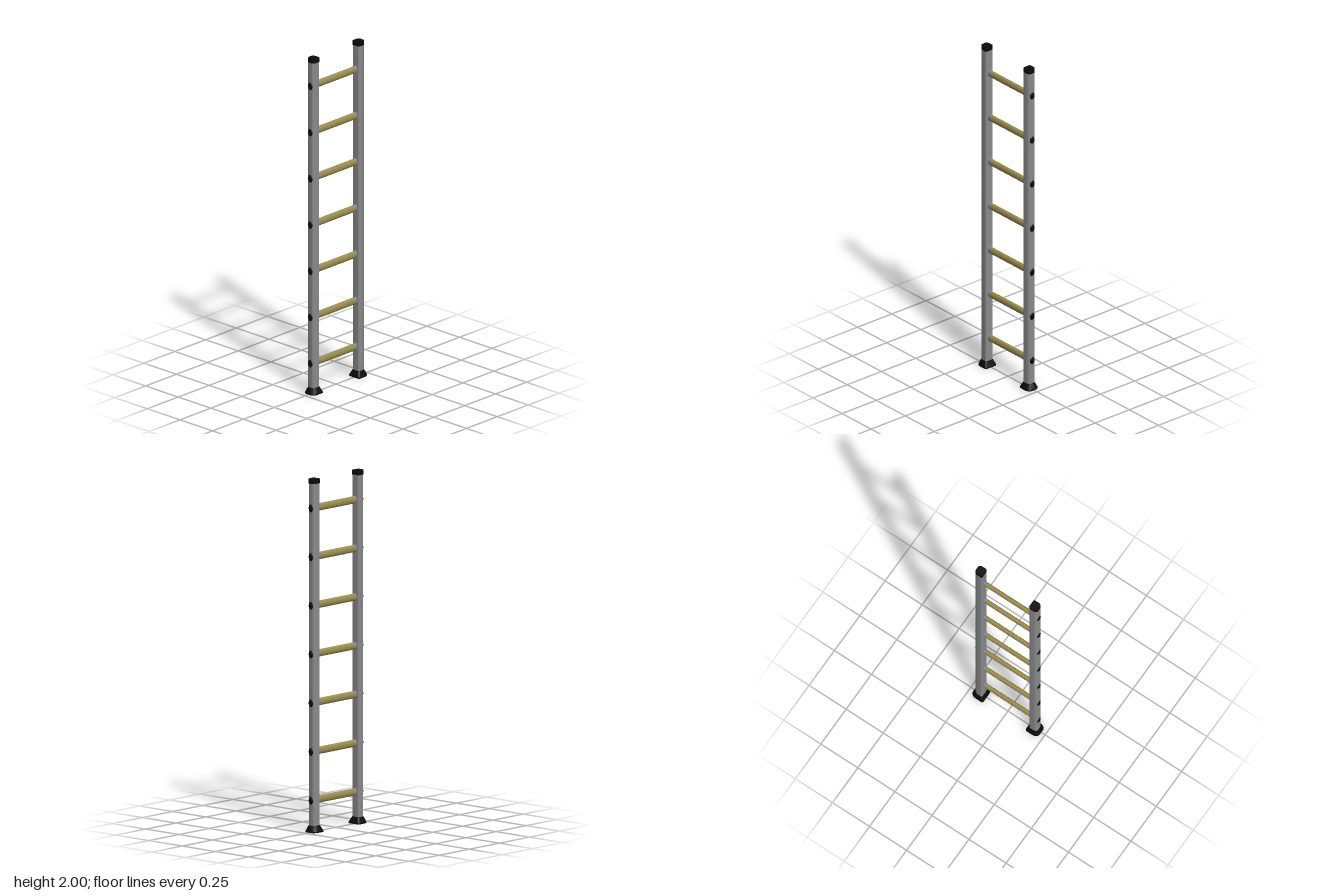
import * as THREE from 'three';
import { toCreasedNormals } from 'three/addons/utils/BufferGeometryUtils.js';

const metal = new THREE.MeshStandardMaterial({ color: 0x8a8a8a });
const rubber = new THREE.MeshStandardMaterial({ color: 0x0a0a0a });
const yellow = new THREE.MeshStandardMaterial({ color: 0xa89010 });

const RAIL_X = 0.184;

// D-shaped section: nearly square on the inner side (-x), rounded on the outer side (+x)
function railSection() {
  const s = new THREE.Shape();
  s.moveTo(-1, -0.72);
  s.quadraticCurveTo(-1, -1, -0.72, -1);
  s.lineTo(0.2, -1);
  s.bezierCurveTo(0.6, -1, 1, -0.75, 1, -0.4);
  s.lineTo(1, 0.4);
  s.bezierCurveTo(1, 0.75, 0.6, 1, 0.2, 1);
  s.lineTo(-0.72, 1);
  s.quadraticCurveTo(-1, 1, -1, 0.72);
  s.closePath();
  return s;
}

// Upright prism between y0 and y1, with its own half width at each end
function prism(y0, y1, half0, half1) {
  const g = new THREE.ExtrudeGeometry(railSection(), { depth: 1, bevelEnabled: false, curveSegments: 6 });
  g.rotateX(-Math.PI / 2);
  const p = g.attributes.position;
  for (let i = 0; i < p.count; i++) {
    const t = p.getY(i);
    const half = half0 + (half1 - half0) * t;
    p.setXYZ(i, p.getX(i) * half, y0 + (y1 - y0) * t, p.getZ(i) * half);
  }
  g.computeVertexNormals();
  return toCreasedNormals(g, 0.8);
}

// Open oval tube along x
function ovalBar(x0, x1) {
  const g = new THREE.CylinderGeometry(1, 1, x1 - x0, 20, 1, true);
  g.rotateZ(Math.PI / 2);
  g.scale(1, 0.021, 0.0128);
  g.translate((x0 + x1) / 2, 0, 0);
  return g;
}

function add(parent, name, geometry, material) {
  const m = new THREE.Mesh(geometry, material);
  m.name = name;
  parent.add(m);
  return m;
}

export function createModel() {
  const ladder = new THREE.Group();
  ladder.name = 'ladder';

  // Side rails with a flared foot and a top cap; the right one is turned around
  for (const [side, turn] of [['left', 0], ['right', Math.PI]]) {
    const rail = new THREE.Group();
    rail.name = side + 'Rail';
    add(rail, side + 'Upright', prism(0.03, 1.98, 0.025, 0.025), metal);
    add(rail, side + 'FootBase', prism(0, 0.007, 0.0405, 0.0405), rubber);
    add(rail, side + 'FootFlare', prism(0.007, 0.038, 0.0405, 0.0258), rubber);
    add(rail, side + 'TopCap', prism(1.974, 2, 0.0256, 0.0256), rubber);
    rail.rotation.y = turn;
    rail.position.x = turn ? -RAIL_X : RAIL_X;
    ladder.add(rail);
  }

  // Shared rung pieces
  const stripe = 0.0202;
  const endBar = ovalBar(6.5 * stripe, 0.2);
  const bandBar = ovalBar(-stripe / 2, stripe / 2);
  const plug = new THREE.SphereGeometry(1, 20, 12);
  plug.scale(0.01, 0.0235, 0.0165);
  plug.translate(0.206, 0, 0);

  // Seven rungs with striped grips and domed plugs on the outside of the rails
  for (let i = 0; i < 7; i++) {
    const rung = new THREE.Group();
    rung.name = 'rung' + (i + 1);
    rung.position.y = 0.18 + i * 0.2757;
    for (let k = -6; k <= 6; k++) {
      const isYellow = k % 2 === 0;
      add(rung, isYellow ? 'gripStripe' : 'gripGap', bandBar, isYellow ? yellow : metal).position.x = k * stripe;
    }
    for (const turn of [0, Math.PI]) {
      add(rung, 'rungEnd', endBar, metal).rotation.y = turn;
      add(rung, 'rungPlug', plug, rubber).rotation.y = turn;
    }
    ladder.add(rung);
  }
  return ladder;
}
